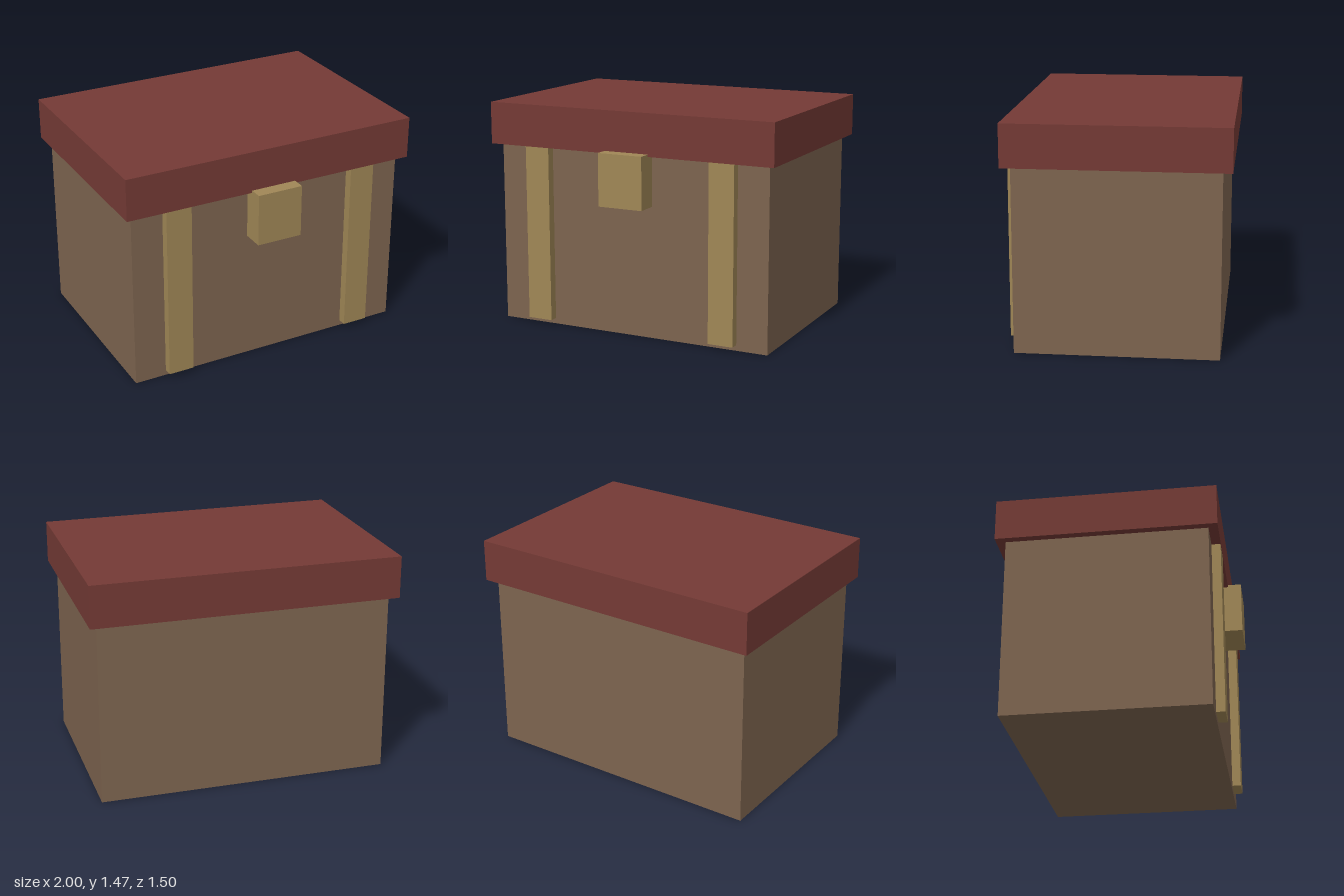
import * as THREE from 'three';

const paint = (name, color) => {
  const m = new THREE.MeshStandardMaterial({ color });
  m.name = name;
  return m;
};

// Box given by its minimum and maximum corners
function block(name, material, [x0, y0, z0], [x1, y1, z1]) {
  const mesh = new THREE.Mesh(new THREE.BoxGeometry(x1 - x0, y1 - y0, z1 - z0), material);
  mesh.position.set((x0 + x1) / 2, (y0 + y1) / 2, (z0 + z1) / 2);
  mesh.name = name;
  return mesh;
}

export function createModel() {
  const wood = paint('brown wood', 0x7d644f);
  const red = paint('dark red', 0x743a35);
  const brass = paint('dull brass', 0xa08756);

  const chest = new THREE.Group();
  chest.name = 'chest';

  // Body and overhanging lid
  chest.add(block('body', wood, [-0.95, 0, -0.688], [0.95, 1.2, 0.602]));
  chest.add(block('lid', red, [-1, 1.193, -0.748], [1, 1.468, 0.662]));

  // Front straps, running up under the lid
  for (const [name, x] of [['leftStrap', 0.655], ['rightStrap', -0.655]]) {
    chest.add(block(name, brass, [x - 0.085, 0.037, 0.59], [x + 0.085, 1.2, 0.66]));
  }

  // Clasp block
  chest.add(block('clasp', brass, [-0.153, 0.865, 0.6], [0.153, 1.208, 0.748]));
  return chest;
}
